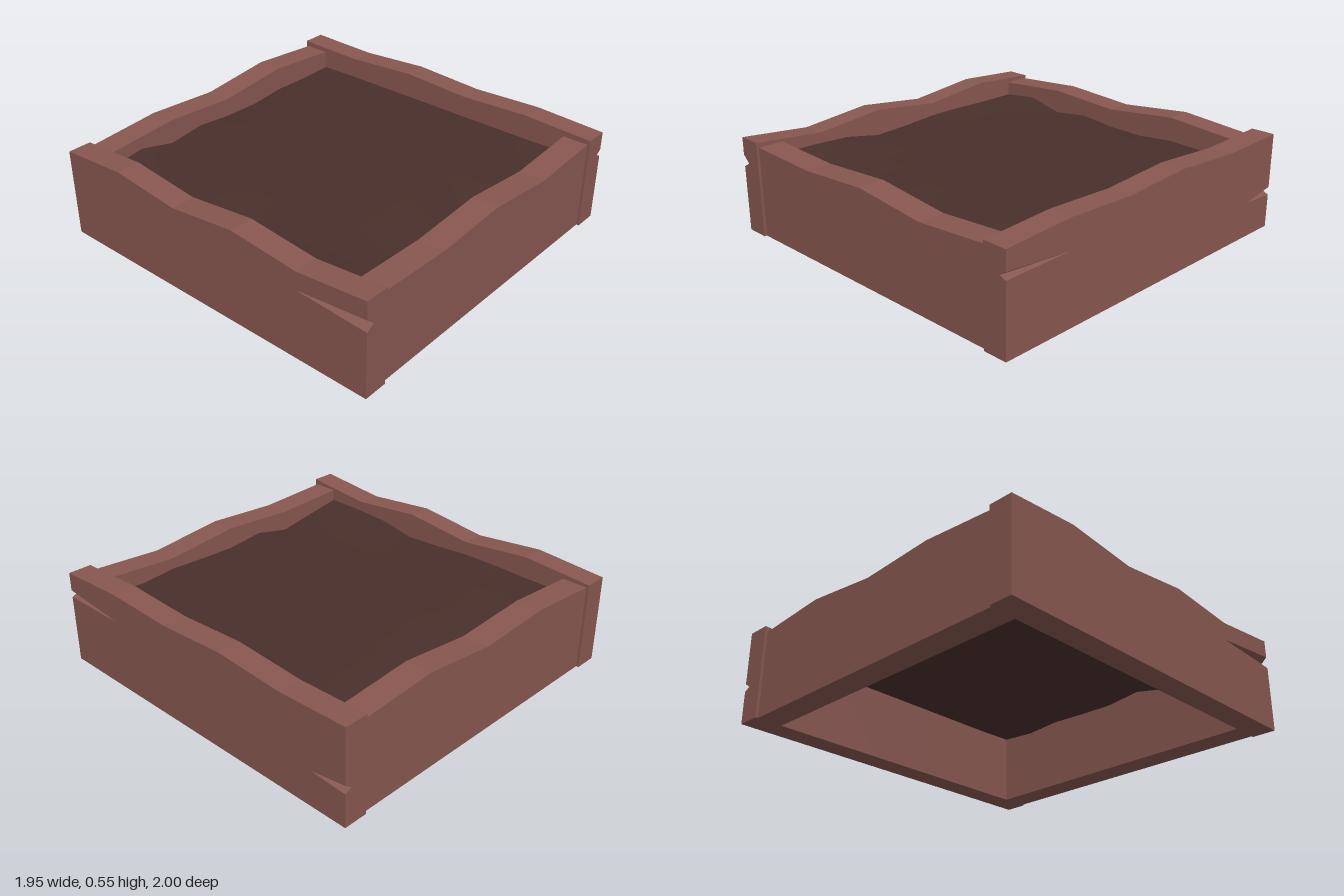
import * as THREE from 'three';

const wood = new THREE.MeshStandardMaterial({ color: 0x885750, flatShading: true });
const earth = new THREE.MeshStandardMaterial({ color: 0x49302b, side: THREE.DoubleSide });
const INNER = 0.843;

// Joins equal cross-sections (counter-clockwise seen from +z, listed from +z to -z) and caps both ends
function loft(sections) {
  const pos = [];
  const tri = (...pts) => pts.forEach(p => pos.push(...p));
  const n = sections[0].length;
  for (let i = 0; i < sections.length - 1; i++) {
    for (let j = 0; j < n; j++) {
      const k = (j + 1) % n;
      const a = sections[i][j], b = sections[i][k], c = sections[i + 1][k], d = sections[i + 1][j];
      tri(a, d, b);
      tri(b, d, c);
    }
  }
  const cap = (s, flip) => {
    const contour = s.map(p => new THREE.Vector2(p[0], p[1]));
    for (const [a, b, c] of THREE.ShapeUtils.triangulateShape(contour, [])) {
      if (flip) tri(s[a], s[c], s[b]);
      else tri(s[a], s[b], s[c]);
    }
  };
  cap(sections[0], false);
  cap(sections[sections.length - 1], true);
  const g = new THREE.BufferGeometry();
  g.setAttribute('position', new THREE.Float32BufferAttribute(pos, 3));
  g.computeVertexNormals();
  return g;
}

// Plank along z with a wavy top; stations are [z, top, crack low, crack middle, crack high, crack depth]
function plank(name, outer, stations, mirror = false) {
  const sections = stations.map(([z, top, lo, mid, hi, depth]) => {
    const s = [[INNER, 0, z], [outer, 0, z]];
    if (lo !== undefined) s.push([outer, lo, z], [outer - depth, mid, z], [outer, hi, z]);
    s.push([outer, top, z], [INNER, top, z]);
    return mirror ? s.map(([x, y, w]) => [-x, y, w]).reverse() : s;
  });
  const mesh = new THREE.Mesh(loft(sections), wood);
  mesh.name = name;
  return mesh;
}

// Stations where the crack is closed to a point on the outer face
const shut = (z, top, y) => [z, top, y, y, y, 0];

// Nearly level soil, uneven where it meets the planks
function soil() {
  const back = [0.4, 0.425, 0.375, 0.4, 0.38, 0.375, 0.395, 0.39, 0.395];
  const front = [0.433, 0.4, 0.365, 0.412, 0.39, 0.395, 0.405, 0.39, 0.405];
  const right = [0.4, 0.4, 0.405, 0.405, 0.39, 0.38, 0.42, 0.43, 0.433];
  const g = new THREE.PlaneGeometry(2 * INNER, 2 * INNER, 8, 8).rotateX(-Math.PI / 2);
  const p = g.attributes.position;
  for (let i = 0; i < p.count; i++) {
    const col = i % 9, row = Math.floor(i / 9);
    let y = 0.4;
    if (row === 0) y = back[col];
    else if (row === 8) y = front[col];
    else if (col === 0) y = right[row];
    p.setY(i, y);
  }
  g.computeVertexNormals();
  const mesh = new THREE.Mesh(g, earth);
  mesh.name = 'soil';
  return mesh;
}

export function createModel() {
  const group = new THREE.Group();
  group.name = 'planterBox';

  // Side planks, cracked at their ends
  group.add(plank('leftPlank', 0.974, [
    [1, 0.522, 0.38, 0.395, 0.42, 0.036],
    shut(0.6, 0.54, 0.383),
    shut(0.2, 0.523, 0.33),
    shut(-0.2, 0.545, 0.28),
    shut(-0.6, 0.518, 0.22),
    shut(-0.79, 0.522, 0.196),
    [-1, 0.528, 0.183, 0.202, 0.228, 0.036],
  ]));
  group.add(plank('rightPlank', 0.974, [
    [1, 0.527, 0.365, 0.391, 0.43, 0.043],
    shut(0.6, 0.488, 0.388),
    shut(0.2, 0.527, 0.388),
    shut(-0.2, 0.48, 0.388),
    shut(-0.6, 0.523, 0.388),
    shut(-1, 0.495, 0.388),
  ], true));

  // End planks, turned to lie along x
  const front = plank('frontPlank', 0.986,
    [[INNER, 0.497], [0.42, 0.482], [0, 0.51], [-0.42, 0.467], [-INNER, 0.497]]);
  front.rotation.y = -Math.PI / 2;
  const back = plank('backPlank', 0.986,
    [[INNER, 0.497], [0.42, 0.53], [0, 0.484], [-0.42, 0.51], [-INNER, 0.479]]);
  back.rotation.y = Math.PI / 2;

  group.add(front, back, soil());
  return group;
}
